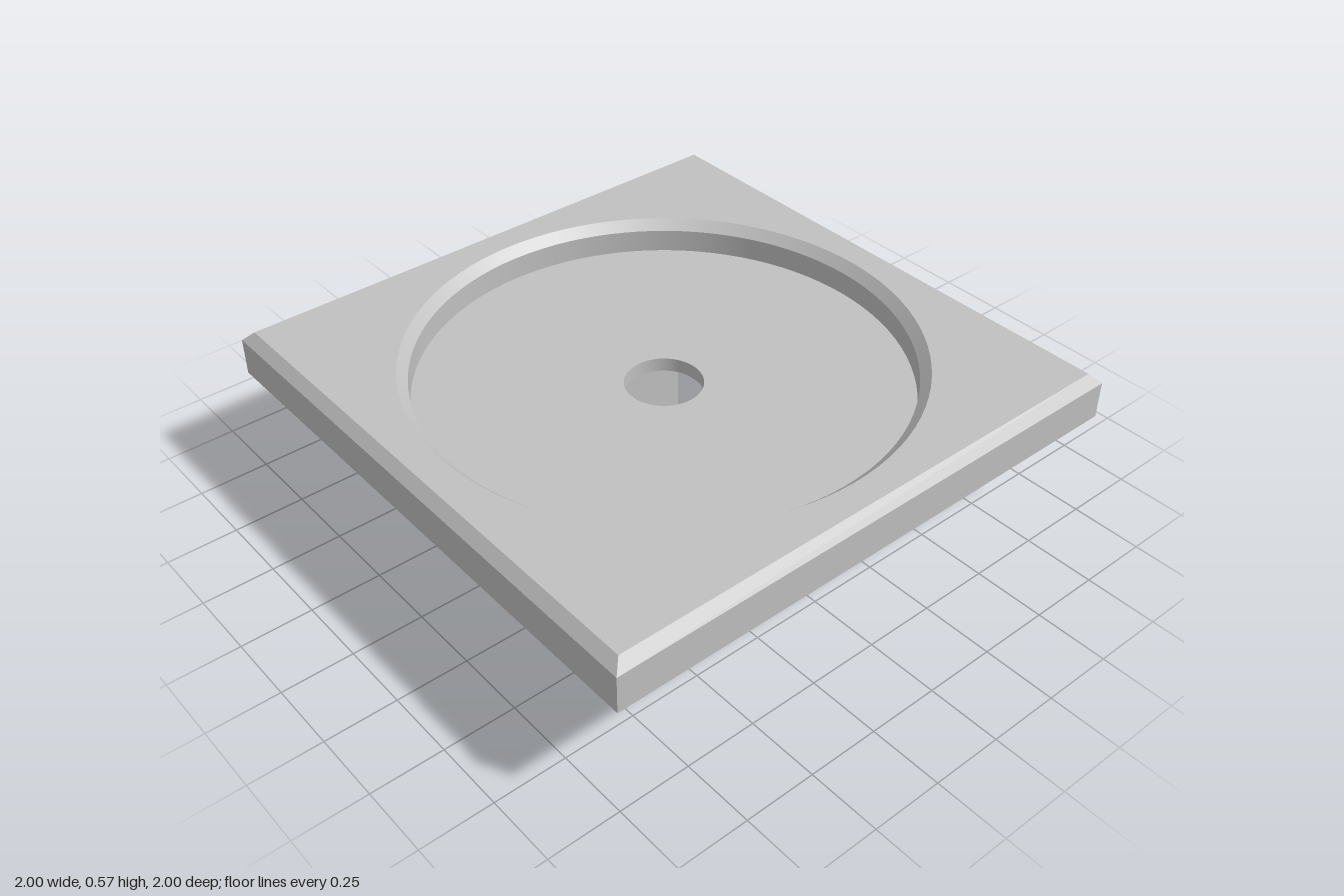
import * as THREE from 'three';

const SEG = 96;
const BOTTOM = 0.4, FLOOR = 0.45, RIM = 0.533, TOP = 0.567;
const BEVEL = TOP - RIM;
const HOLE_R = 0.133, RECESS_R = 0.833;

// Square face with a round hole, lying flat and facing up or down
function holedSquare(half, radius, y, up) {
  const shape = new THREE.Shape();
  shape.moveTo(-half, -half).lineTo(half, -half).lineTo(half, half).lineTo(-half, half).closePath();
  shape.holes.push(new THREE.Path().absarc(0, 0, radius, 0, Math.PI * 2, true));
  return new THREE.ShapeGeometry(shape, SEG / 2)
    .rotateX(up ? -Math.PI / 2 : Math.PI / 2)
    .translate(0, y, 0);
}

// Four flat walls between two squares of given half widths
function squareWalls(halfBottom, y0, halfTop, y1) {
  const geo = new THREE.CylinderGeometry(halfTop * Math.SQRT2, halfBottom * Math.SQRT2,
    y1 - y0, 4, 1, true, Math.PI / 4)
    .translate(0, (y0 + y1) / 2, 0)
    .toNonIndexed();
  geo.computeVertexNormals();
  return geo;
}

export function createModel() {
  const grey = new THREE.MeshStandardMaterial({ color: 0xc0c0c0 });
  grey.name = 'grey';

  const model = new THREE.Group();
  model.name = 'recessedPlate';
  const plate = new THREE.Group();
  plate.name = 'plate';
  model.add(plate);

  const add = (parent, name, geometry) => {
    const mesh = new THREE.Mesh(geometry, grey);
    mesh.name = name;
    parent.add(mesh);
    return mesh;
  };

  // Square outer shell with a bevelled upper edge
  add(plate, 'plateSides', squareWalls(1, BOTTOM, 1, RIM));
  add(plate, 'plateBevel', squareWalls(1, RIM, 1 - BEVEL, TOP));
  add(plate, 'plateTop', holedSquare(1 - BEVEL, RECESS_R + BEVEL, TOP, true));
  add(plate, 'plateUnderside', holedSquare(1, HOLE_R, BOTTOM, false));

  // Round recess and centre hole, one turned band per profile step for crisp edges
  const profile = [
    [RECESS_R + BEVEL, TOP], [RECESS_R, RIM], [RECESS_R, FLOOR], [HOLE_R, FLOOR], [HOLE_R, BOTTOM],
  ].map(([r, y]) => new THREE.Vector2(r, y));
  ['recessBevel', 'recessWall', 'recessFloor', 'centreHole'].forEach((name, i) => {
    add(plate, name, new THREE.LatheGeometry(profile.slice(i, i + 2), SEG));
  });

  // Two upright tabs under the plate, set off centre
  for (const [name, x] of [['rightTab', -0.267], ['leftTab', 0.633]]) {
    add(model, name, new THREE.BoxGeometry(0.133, BOTTOM, 0.467)).position.set(x, BOTTOM / 2, 0);
  }

  return model;
}
